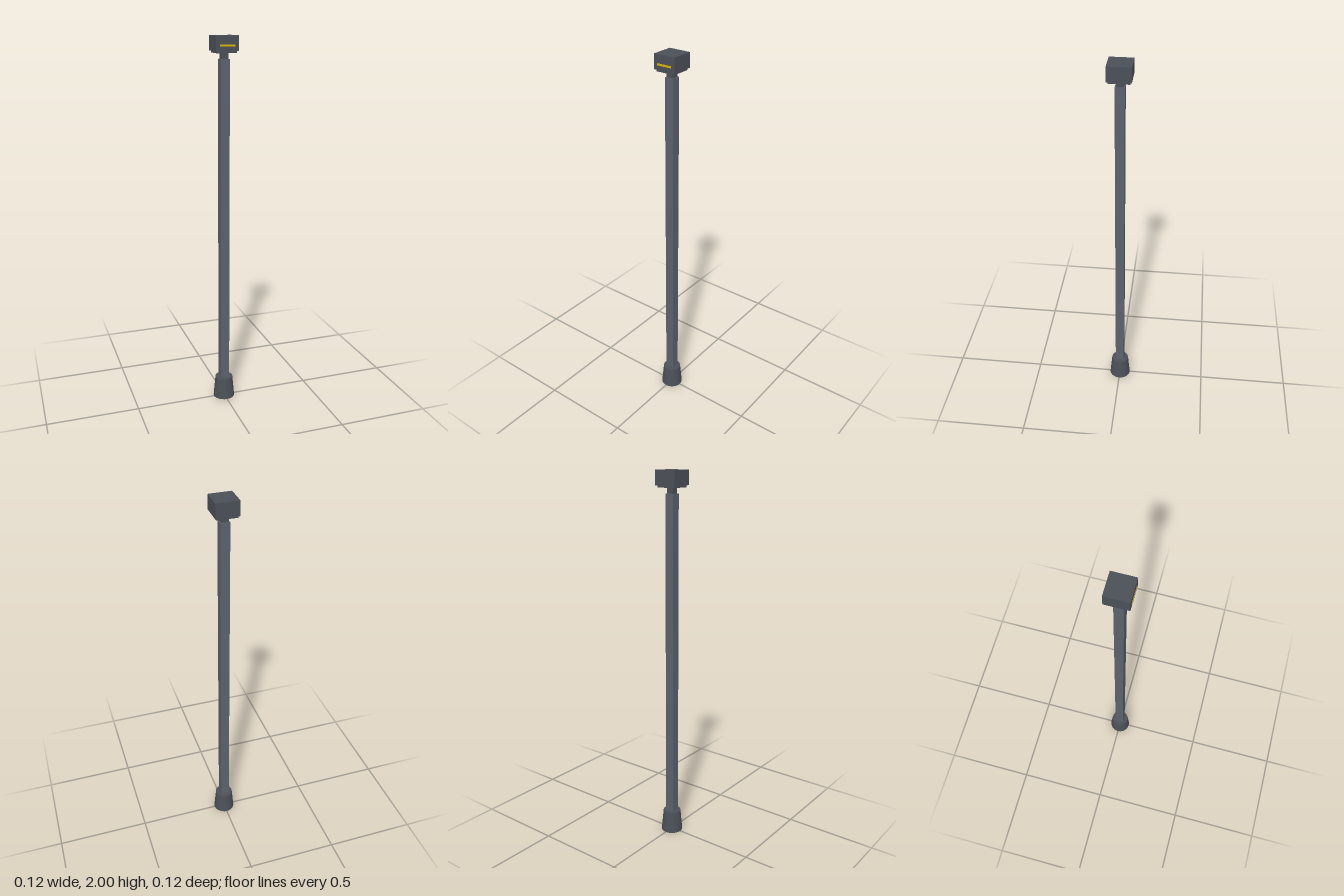
import * as THREE from 'three';

export function createModel() {
  const group = new THREE.Group();
  const paint = (color) => new THREE.MeshStandardMaterial({ color });
  const steel = paint(0x5a626e), dark = paint(0x4b5058), yellow = paint(0xd9b400);

  const add = (name, geometry, material, y, z = -0.001) => {
    const mesh = new THREE.Mesh(geometry, material);
    mesh.name = name;
    mesh.position.set(0, y, z);
    group.add(mesh);
  };
  // Square block spanning y0 to y1
  const block = (name, width, y0, y1, material) =>
    add(name, new THREE.BoxGeometry(width, y1 - y0, width), material, (y0 + y1) / 2);

  // Tapered round foot
  add('foot', new THREE.CylinderGeometry(0.048, 0.059, 0.12, 24), dark, 0.06);

  // Square pole with a narrower neck
  block('pole', 0.048, 0.1, 1.885, steel);
  block('neck', 0.036, 1.88, 1.92, dark);

  // Head block on a slightly inset lip
  block('headLip', 0.104, 1.915, 1.926, dark);
  block('head', 0.119, 1.925, 2, dark);

  // Thin raised stripe on the front of the head
  add('frontStripe', new THREE.BoxGeometry(0.08, 0.01, 0.004), yellow, 1.952, 0.058);

  return group;
}
